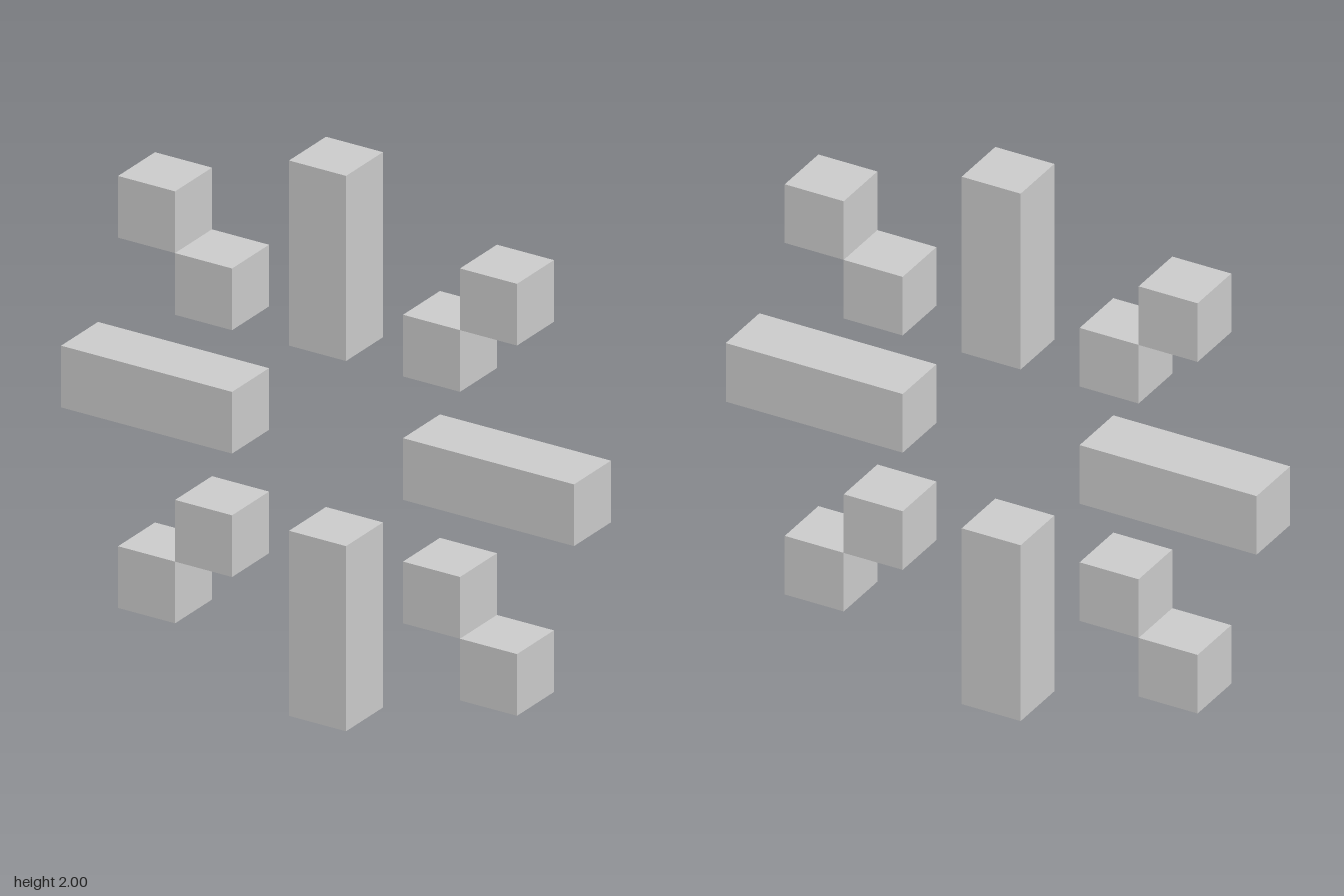
import * as THREE from 'three';

const U = 2 / 9; // one cell of the 9 x 9 grid

export function createModel() {
  const model = new THREE.Group();
  model.name = 'blockBurst';
  const material = new THREE.MeshStandardMaterial({ color: 0xcccccc, flatShading: true });

  // Block centred at cell (col, row) from the middle, w x h cells in size
  function block(name, col, row, w, h) {
    const mesh = new THREE.Mesh(new THREE.BoxGeometry(w * U, h * U, U), material);
    mesh.name = name;
    mesh.position.set(col * U, 1 + row * U, 0);
    model.add(mesh);
  }

  // Straight rays, three cells long
  block('topRay', 0, 3, 1, 3);
  block('bottomRay', 0, -3, 1, 3);
  block('leftRay', 3, 0, 3, 1);
  block('rightRay', -3, 0, 3, 1);

  // Diagonal rays: two cubes touching along an edge
  for (const [side, sx] of [['Left', 1], ['Right', -1]]) {
    for (const [level, sy] of [['upper', 1], ['lower', -1]]) {
      block(`${level}${side}InnerCube`, sx * 2, sy * 2, 1, 1);
      block(`${level}${side}OuterCube`, sx * 3, sy * 3, 1, 1);
    }
  }

  return model;
}
